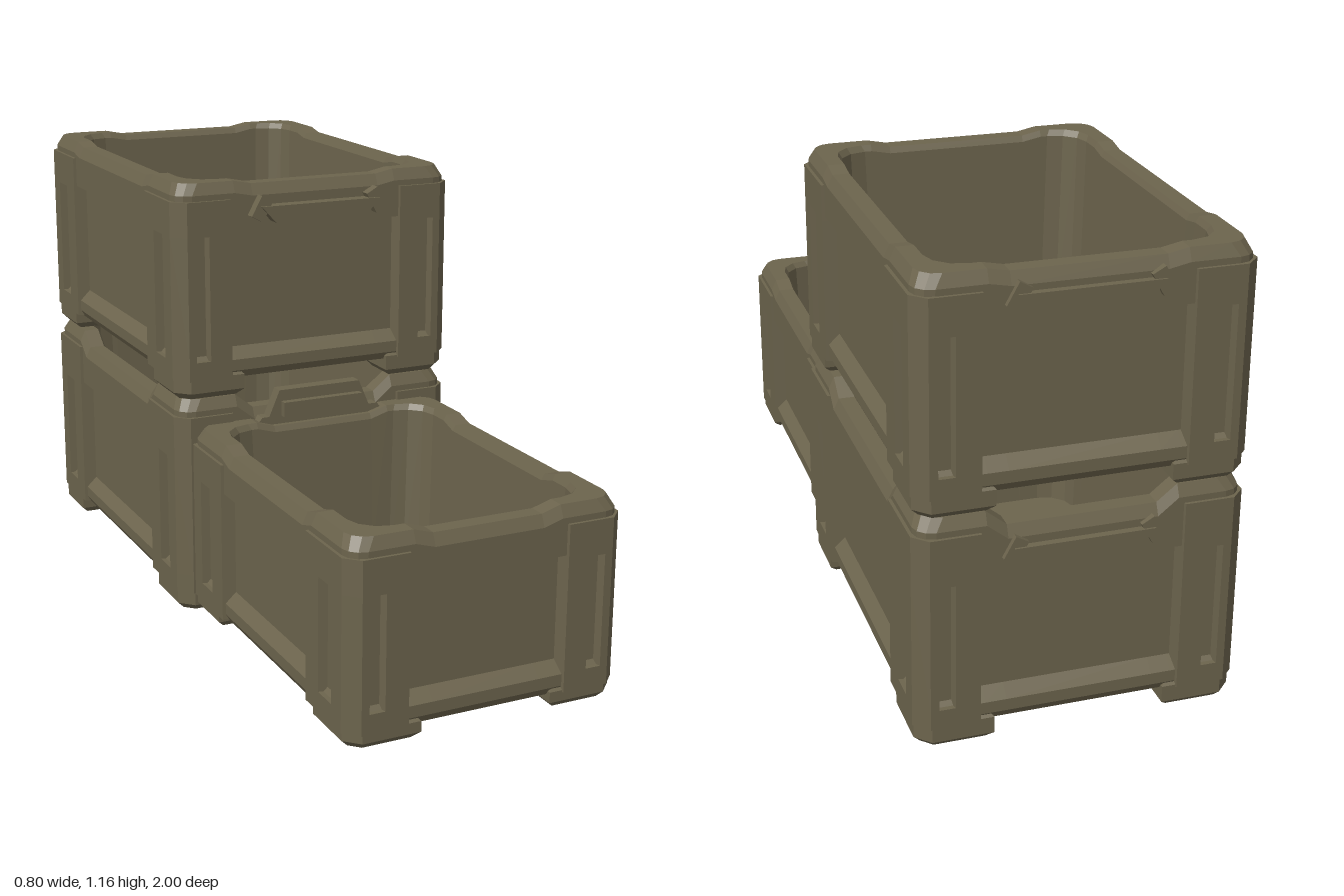
import * as THREE from 'three';

const olive = new THREE.MeshStandardMaterial({ color: 0x6c644d });

function add(group, name, geometry) {
  const flat = geometry.index ? geometry.toNonIndexed() : geometry;
  flat.computeVertexNormals();
  const mesh = new THREE.Mesh(flat, olive);
  mesh.name = name;
  group.add(mesh);
}

// One horizontal outline with rounded corners; the edges sag by dip between the corners
function ring(hx, hz, r, y, px, pz, dip = 0) {
  const pts = [];
  const signs = [[1, 1], [-1, 1], [-1, -1], [1, -1]];
  signs.forEach(([sx, sz], q) => {
    for (let i = 0; i <= 3; i++) {
      const a = (q + i / 3) * Math.PI / 2;
      pts.push([sx * (hx - r) + r * Math.cos(a), y, sz * (hz - r) + r * Math.sin(a)]);
    }
    const alongX = q % 2 === 0;
    const p = alongX ? px : pz;
    const dir = q < 2 ? 1 : -1;
    for (const [t, d] of [[p, 0], [p - 0.05, dip], [0.05 - p, dip], [-p, 0]]) {
      pts.push(alongX ? [dir * t, y - d, sz * hz] : [sx * hx, y - d, dir * t]);
    }
  });
  return pts;
}

// Skin through outlines, capped at both ends
function loft(rings) {
  const v = [];
  const n = rings[0].length;
  const first = rings[0], last = rings[rings.length - 1];
  for (let j = 0; j < n; j++) {
    const k = (j + 1) % n;
    for (let i = 0; i < rings.length - 1; i++) {
      const a = rings[i][j], b = rings[i][k], c = rings[i + 1][k], d = rings[i + 1][j];
      v.push(...a, ...d, ...b, ...b, ...d, ...c);
    }
    v.push(0, first[0][1], 0, ...first[j], ...first[k]);
    v.push(0, last[0][1], 0, ...last[k], ...last[j]);
  }
  const g = new THREE.BufferGeometry();
  g.setAttribute('position', new THREE.Float32BufferAttribute(v, 3));
  return g;
}

// Upright prism from plan points (x, z), with an optional chamfer
function prism(pts, y0, y1, bevel = 0) {
  const shape = new THREE.Shape(pts.map(([x, z]) => new THREE.Vector2(x, -z)));
  const g = new THREE.ExtrudeGeometry(shape, {
    depth: y1 - y0 - 2 * bevel, bevelEnabled: bevel > 0, bevelThickness: bevel,
    bevelSize: bevel, bevelOffset: -bevel, bevelSegments: 1,
  });
  return g.rotateX(-Math.PI / 2).translate(0, y0 + bevel, 0);
}

function crate(name, { hx, hz, z, foot, base, top, rail, dip }) {
  const group = new THREE.Group();
  group.name = name;
  group.position.z = z;
  const px = hx - 0.17, pz = hz - 0.21;
  const o = 0.008, inset = 0.035, wall = 0.072;
  const loop = (d, r, y, sag = 0) => ring(hx - d, hz - d, r, y, px, pz, sag);

  // Hollow tub: bottom rail, recessed panels, top rail, rim and inner walls
  add(group, 'tub', loft([
    loop(0.02, 0.04, base),
    loop(o, 0.04, base + 0.02),
    loop(o, 0.04, base + 0.05),
    loop(inset, 0.04, base + 0.08),
    loop(inset, 0.04, rail - 0.005),
    loop(o, 0.04, rail),
    loop(o, 0.045, top - 0.03, dip),
    loop(0.022, 0.05, top, dip),
    loop(wall - 0.008, 0.08, top, dip),
    loop(wall, 0.08, top - 0.015, dip),
    loop(wall + 0.015, 0.08, base + 0.035),
  ]));

  const c = 0.035, t = 0.045, wx = 0.155, wz = 0.225, g = 0.022;
  for (const sx of [1, -1]) for (const sz of [1, -1]) {
    // Plan points are distances inward from the outer corner
    const plan = (list) => list.map(([a, b]) => [sx * (hx - a), sz * (hz - b)]);
    const solid = plan([[c, 0], [wx, 0], [wx + 0.01, t], [t, t], [t, wz + 0.01], [0, wz], [0, c]]);
    const grooved = plan([
      [c, 0], [0.055, 0], [0.06, g], [0.09, g], [0.095, 0], [wx, 0], [wx + 0.01, t], [t, t],
      [t, wz + 0.01], [0, wz], [0, 0.155], [g, 0.15], [g, 0.09], [0, 0.085], [0, c],
    ]);
    add(group, 'cornerPostBase', prism(solid, base + 0.005, base + 0.055));
    add(group, 'cornerPost', prism(grooved, base + 0.055, rail - 0.01));
    add(group, 'cornerPostTop', prism(solid, rail - 0.01, top - 0.045));
    add(group, 'foot', prism(
      plan([[0.04, 0.004], [0.19, 0.004], [0.19, 0.13], [0.13, 0.19], [0.004, 0.19], [0.004, 0.04]]),
      foot, base + 0.028, 0.018));
  }
  return group;
}

// Pull bar with two lugs, placed against an end face
function handle(name, y, zFace, dir, out) {
  const group = new THREE.Group();
  group.name = name;
  const depth = out + 0.02;
  const zMid = zFace + dir * (out - depth / 2);
  const bar = new THREE.Shape();
  bar.moveTo(-0.17, 0.022);
  bar.lineTo(0.17, 0.022);
  bar.lineTo(0.13, -0.022);
  bar.lineTo(-0.13, -0.022);
  add(group, 'handleBar', new THREE.ExtrudeGeometry(bar, { depth, bevelEnabled: false })
    .translate(0, y, zMid - depth / 2));
  for (const s of [1, -1]) {
    add(group, 'handleLug', new THREE.BoxGeometry(0.035, 0.06, depth * 0.85)
      .rotateZ(s * 0.5).translate(s * 0.165, y + 0.015, zMid - dir * depth * 0.075));
  }
  return group;
}

// Raised catch plate between the stacked and the front crate
function catchPlate() {
  const group = new THREE.Group();
  group.name = 'catchPlate';
  const s = new THREE.Shape();
  [[-0.2, 0.5], [0.2, 0.5], [0.17, 0.535], [0.145, 0.535], [0.115, 0.605], [-0.12, 0.605],
    [-0.15, 0.535], [-0.17, 0.535]].forEach(([x, y], i) => (i ? s.lineTo(x, y) : s.moveTo(x, y)));
  add(group, 'catchPanel', new THREE.ExtrudeGeometry(s, { depth: 0.035, bevelEnabled: false })
    .translate(0, 0, 0.05));
  add(group, 'catchBar', new THREE.BoxGeometry(0.23, 0.04, 0.03).translate(0, 0.555, 0.09));
  return group;
}

export function createModel() {
  const model = new THREE.Group();
  model.name = 'stackedCrates';
  model.add(
    crate('upperCrate', { hx: 0.4, hz: 0.527, z: -0.463, foot: 0.598, base: 0.645, top: 1.167, rail: 1.04, dip: 0.01 }),
    crate('lowerCrate', { hx: 0.4, hz: 0.527, z: -0.463, foot: 0.005, base: 0.055, top: 0.596, rail: 0.44, dip: 0.04 }),
    crate('frontCrate', { hx: 0.362, hz: 0.48, z: 0.515, foot: 0.02, base: 0.055, top: 0.528, rail: 0.405, dip: 0.015 }),
    handle('upperFrontHandle', 1.08, 0.06, 1, 0.032),
    handle('upperBackHandle', 1.09, -0.985, -1, 0.015),
    handle('lowerBackHandle', 0.485, -0.985, -1, 0.015),
    catchPlate(),
  );
  return model;
}
